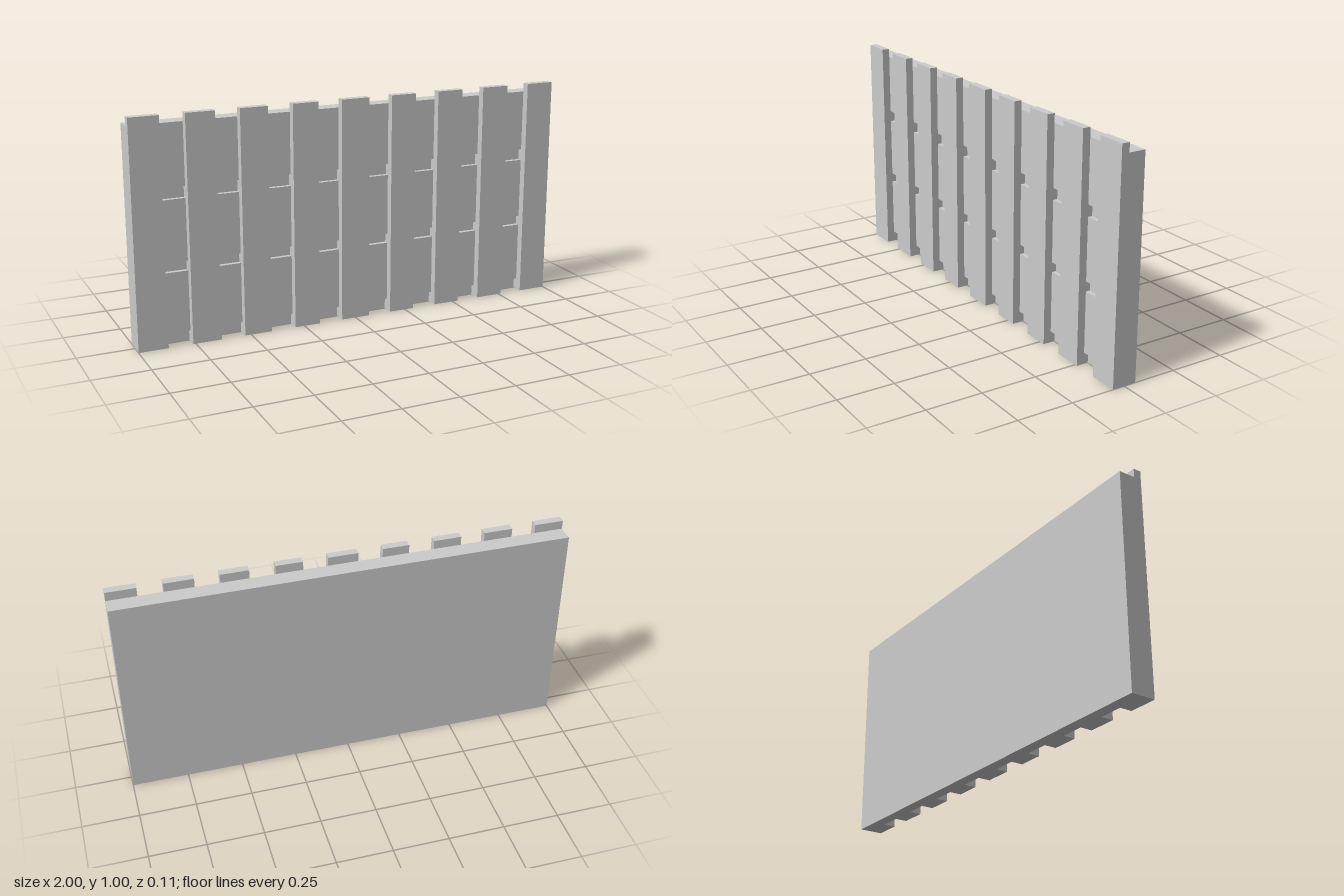
import * as THREE from 'three';

const BACK = -0.055, GROOVE = 0, FACE = 0.02, FRONT = 0.055;
const PANEL_TOP = 0.96, SLAT_TOP = 1;

export function createModel() {
  const group = new THREE.Group();
  const material = new THREE.MeshStandardMaterial({ color: 0xcccccc, flatShading: true });

  // Box given by its lower and upper bounds on each axis
  function box(name, x0, x1, y0, y1, z0, z1) {
    const mesh = new THREE.Mesh(new THREE.BoxGeometry(x1 - x0, y1 - y0, z1 - z0), material);
    mesh.position.set((x0 + x1) / 2, (y0 + y1) / 2, (z0 + z1) / 2);
    mesh.name = name;
    group.add(mesh);
  }

  // Solid backing wall
  box('backPanel', -1, 1, 0, PANEL_TOP, BACK, GROOVE);

  // Upright slats: the middle one, then mirrored pairs [inner x, outer x]
  const half = [[0.174, 0.292], [0.404, 0.527], [0.634, 0.762], [0.87, 1]];
  const slats = [
    ...half.map(([a, b]) => [-b, -a]).reverse(),
    [-0.066, 0.066],
    ...half,
  ];

  // Each slat has an L-shaped side profile, stepped at the top of the back panel
  for (const [x0, x1] of slats) {
    const profile = new THREE.Shape([
      [GROOVE, 0], [FRONT, 0], [FRONT, SLAT_TOP], [FACE, SLAT_TOP], [FACE, PANEL_TOP], [GROOVE, PANEL_TOP],
    ].map(([z, y]) => new THREE.Vector2(-z, y)));
    const geometry = new THREE.ExtrudeGeometry(profile, { depth: x1 - x0, bevelEnabled: false });
    geometry.rotateY(Math.PI / 2);
    const slat = new THREE.Mesh(geometry, material);
    slat.position.x = x0;
    slat.name = 'slat';
    group.add(slat);
  }

  // Raised infill boards between the slats, leaving horizontal grooves
  const boards = [[0.05, 0.32], [0.363, 0.636], [0.687, PANEL_TOP]];
  for (let i = 0; i < slats.length - 1; i++) {
    for (const [y0, y1] of boards) {
      box('infillBoard', slats[i][1], slats[i + 1][0], y0, y1, GROOVE, FACE);
    }
  }

  return group;
}
